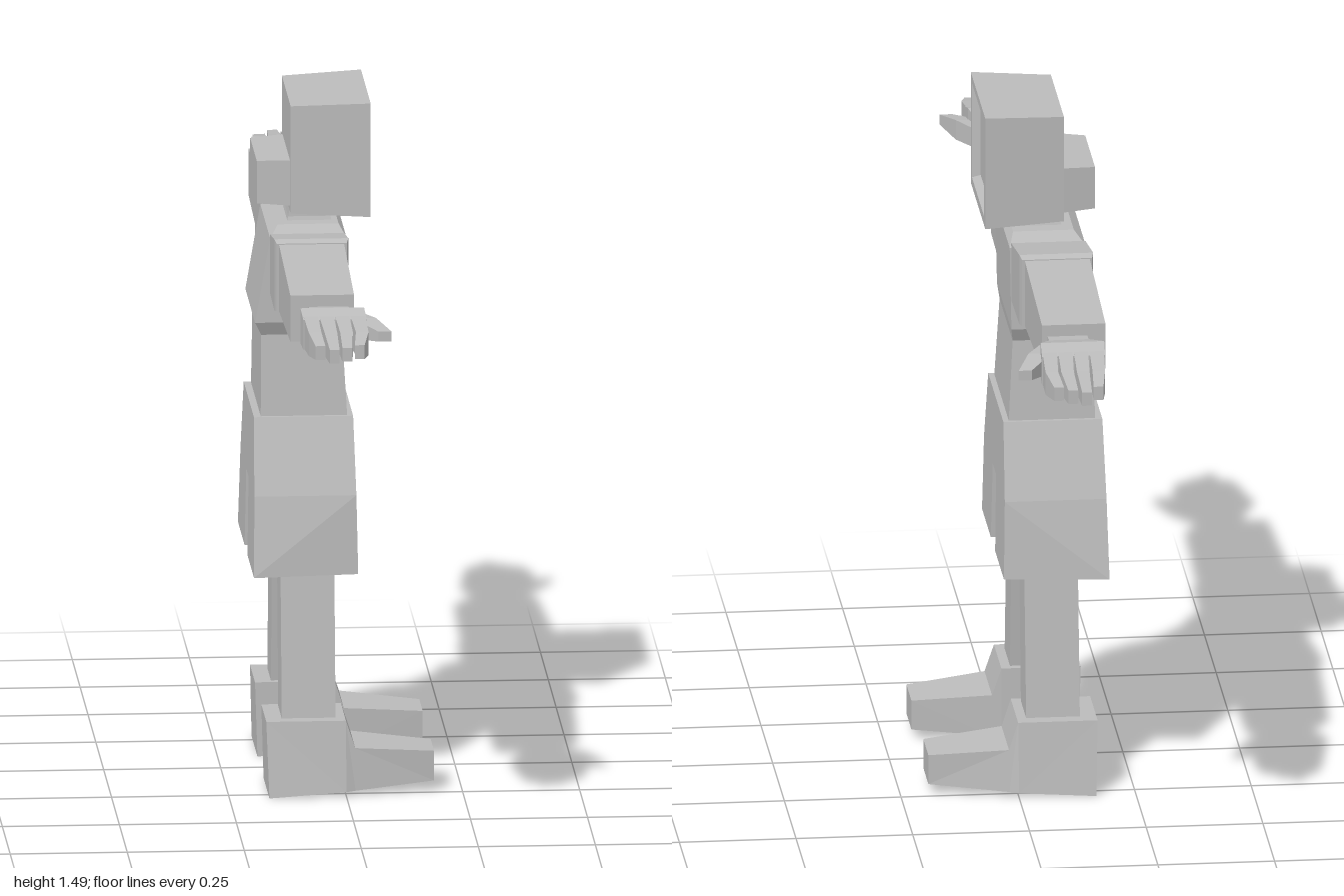
import * as THREE from 'three';

// Rectangular cross-sections across each axis
const ringX = (x, y0, y1, z0, z1) => [[x, y0, z0], [x, y1, z0], [x, y1, z1], [x, y0, z1]];
const ringY = (y, x0, x1, z0, z1) => [[x0, y, z0], [x0, y, z1], [x1, y, z1], [x1, y, z0]];
const ringZ = (z, x0, x1, y0, y1) => [[x0, y0, z], [x1, y0, z], [x1, y1, z], [x0, y1, z]];

// Closed faceted solid through a series of four-cornered rings; side = -1 mirrors it in z
function loft(rings, side = 1) {
  const tris = [];
  const quad = (a, b, c, d) => tris.push([a, b, c], [a, c, d]);
  rings = rings.map(r => r.map(([x, y, z]) => new THREE.Vector3(x, y, z * side)));
  for (let i = 0; i < rings.length - 1; i++) {
    for (let j = 0; j < 4; j++) {
      const k = (j + 1) % 4;
      quad(rings[i][j], rings[i][k], rings[i + 1][k], rings[i + 1][j]);
    }
  }
  const [a, b, c, d] = rings[0];
  quad(d, c, b, a);
  quad(...rings[rings.length - 1]);
  // Turn all faces outward
  const centre = new THREE.Vector3();
  rings.flat().forEach(p => centre.addScaledVector(p, 1 / (rings.length * 4)));
  let volume = 0;
  for (const [p, q, r] of tris) {
    volume += p.clone().sub(centre).dot(q.clone().sub(centre).cross(r.clone().sub(centre)));
  }
  if (volume < 0) tris.forEach(t => t.reverse());
  const geometry = new THREE.BufferGeometry().setFromPoints(tris.flat());
  geometry.computeVertexNormals();
  return geometry;
}

export function createModel() {
  const grey = new THREE.MeshStandardMaterial({ color: 0xbbbbbb });
  grey.name = 'plain grey';
  const model = new THREE.Group();
  model.name = 'monitorHeadFigure';
  const add = (name, rings, side) => {
    const mesh = new THREE.Mesh(loft(rings, side), grey);
    mesh.name = name;
    model.add(mesh);
  };

  // Monitor head with a recessed screen, and the box behind it
  add('head', [
    ringX(-0.11, 1.25, 1.485, -0.14, 0.14),
    ringX(0.06, 1.243, 1.492, -0.155, 0.155),
    ringX(0.06, 1.263, 1.475, -0.131, 0.131),
    ringX(0.042, 1.27, 1.468, -0.124, 0.124),
  ]);
  add('headRearBox', [
    ringX(-0.18, 1.265, 1.358, -0.105, 0.105),
    ringX(-0.105, 1.262, 1.362, -0.12, 0.12),
  ]);
  add('neck', [
    ringY(1.19, -0.12, -0.01, -0.075, 0.075),
    ringY(1.225, -0.11, -0.02, -0.062, 0.062),
    ringY(1.25, -0.105, -0.025, -0.06, 0.06),
  ]);

  // Torso
  add('torso', [
    ringY(0.805, -0.175, 0.01, -0.155, 0.155),
    ringY(0.985, -0.173, 0, -0.14, 0.14),
    ringY(1.015, -0.187, 0.004, -0.155, 0.155),
    ringY(1.2, -0.155, 0.008, -0.157, 0.157),
    ringY(1.217, -0.135, -0.005, -0.1, 0.1),
  ]);

  // Shorts
  add('shortsTop', [
    ringY(0.65, -0.193, 0.025, -0.222, 0.222),
    ringY(0.81, -0.19, 0.022, -0.163, 0.163),
  ]);

  for (const side of [1, -1]) {
    const prefix = side > 0 ? 'near' : 'far';
    const part = (name, rings) => add(prefix + name, rings, side);

    part('ShortsLeg', [
      [[-0.196, 0.48, 0.046], [-0.196, 0.48, 0.257], [0.028, 0.48, 0.235], [0.028, 0.48, 0.046]],
      ringY(0.65, -0.193, 0.025, 0.036, 0.222),
    ]);
    part('Leg', [
      ringY(0.15, -0.135, -0.02, 0.118, 0.232),
      ringY(0.52, -0.135, -0.02, 0.075, 0.185),
    ]);

    // Shoe, heel to toe
    part('Shoe', [
      [[-0.165, 0.003, 0.097], [-0.17, 0.165, 0.1], [-0.17, 0.165, 0.26], [-0.165, 0.003, 0.285]],
      [[0, 0.013, 0.097], [0, 0.165, 0.1], [0, 0.165, 0.26], [0, 0.013, 0.28]],
      [[0.02, 0.014, 0.1], [0.02, 0.105, 0.102], [0.02, 0.105, 0.262], [0.02, 0.014, 0.272]],
      ringX(0.19, 0.025, 0.09, 0.127, 0.235),
    ]);

    // Arm
    part('Sleeve', [
      ringZ(0.15, -0.155, 0.004, 1.08, 1.208),
      ringZ(0.305, -0.156, 0.002, 1.078, 1.234),
      ringZ(0.322, -0.152, -0.002, 1.08, 1.228),
    ]);
    part('Forearm', [
      ringZ(0.32, -0.147, -0.008, 1.08, 1.226),
      ringZ(0.668, -0.146, -0.01, 1.097, 1.198),
    ]);

    // Palm, thumb and four fingers
    part('Palm', [
      ringZ(0.66, -0.107, -0.022, 1.125, 1.172),
      ringZ(0.7, -0.107, -0.022, 1.125, 1.175),
      ringZ(0.78, -0.132, 0.004, 1.12, 1.197),
      ringZ(0.83, -0.129, 0.006, 1.118, 1.183),
    ]);
    part('Thumb', [
      ringZ(0.71, -0.045, -0.005, 1.13, 1.172),
      ringZ(0.775, -0.02, 0.03, 1.128, 1.172),
      ringZ(0.85, 0.03, 0.058, 1.138, 1.16),
    ]);
    [0.965, 1, 0.985, 0.962].forEach((tip, i) => {
      const x = -0.128 + i * 0.0335;
      const tipX = -0.112 + i * 0.028;
      part('Finger' + (i + 1), [
        ringZ(0.81, x, x + 0.031, 1.119, 1.188),
        ringZ(0.9, x + 0.006, x + 0.033, 1.121, 1.172),
        ringZ(tip, tipX, tipX + 0.021, 1.128, 1.158),
      ]);
    });
  }
  return model;
}
